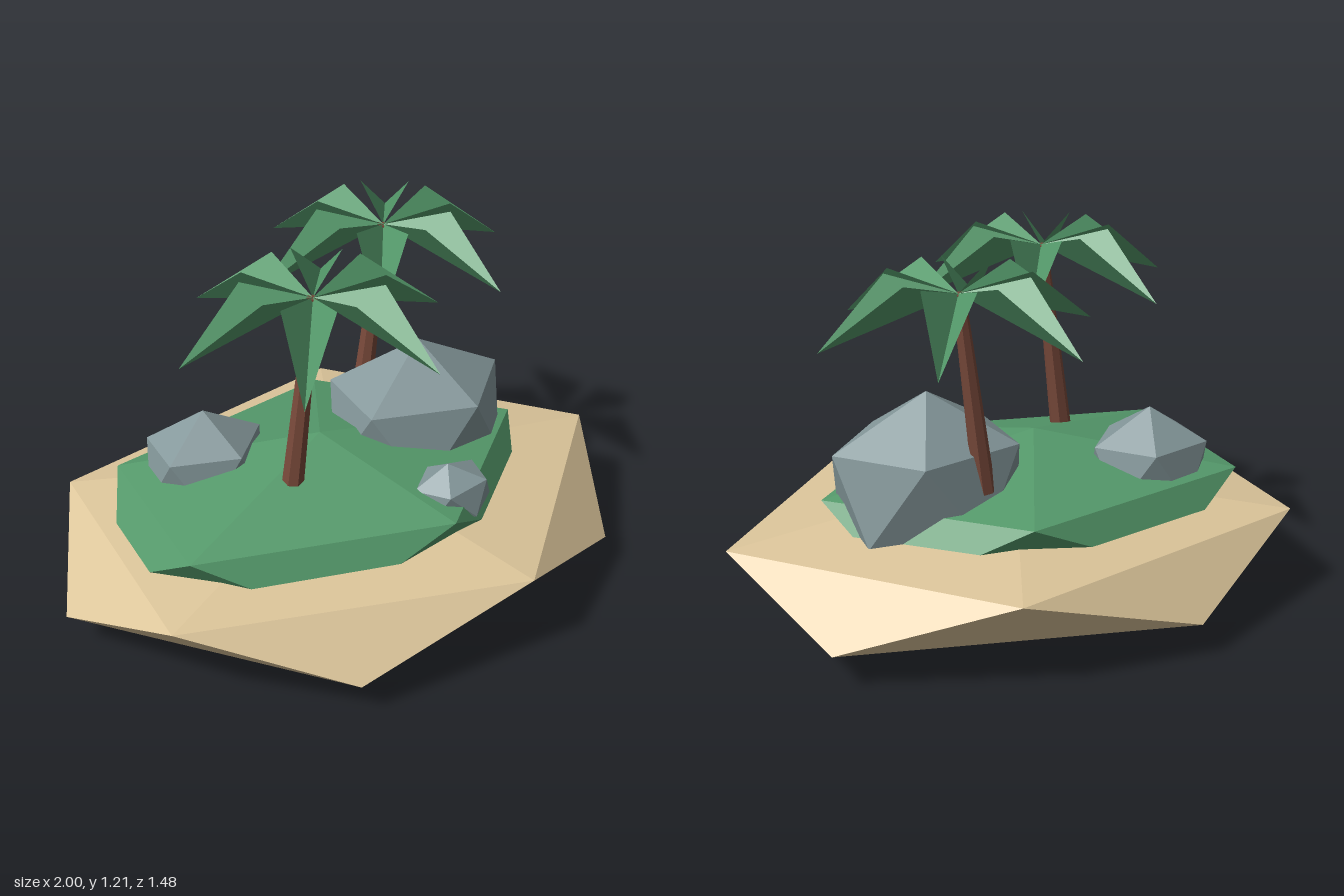
import * as THREE from 'three';

const mat = (color, side = THREE.FrontSide) =>
  new THREE.MeshStandardMaterial({ color, flatShading: true, side });

const sand = mat(0xdcc59a);
const green = mat(0x559a6b);
const stone = mat(0x84979a);
const bark = mat(0x78493a);
const leaf = mat(0x559a6b, THREE.DoubleSide);

// Squashed icosahedron standing on a corner, with an optional turn before squashing
function boulder(name, material, radii, position, turn = [0, 0, 0]) {
  const geometry = new THREE.IcosahedronGeometry(1, 0);
  geometry.rotateZ(-Math.atan(2 / (1 + Math.sqrt(5))));
  geometry.applyMatrix4(new THREE.Matrix4().makeRotationFromEuler(new THREE.Euler(...turn)));
  geometry.scale(...radii);
  geometry.computeVertexNormals();
  const mesh = new THREE.Mesh(geometry, material);
  mesh.name = name;
  mesh.position.set(...position);
  return mesh;
}

// Folded leaf along +x: two triangles meeting in a valley
function frondGeometry() {
  const root = [0, 0, 0], tip = [0.45, -0.13, 0];
  const left = [0.208, 0.065, -0.083], right = [0.208, 0.065, 0.083];
  const geometry = new THREE.BufferGeometry();
  geometry.setAttribute('position', new THREE.Float32BufferAttribute(
    [root, tip, left, root, right, tip].flat(), 3));
  geometry.computeVertexNormals();
  return geometry;
}

function palm(name, x, y, z) {
  const tree = new THREE.Group();
  tree.name = name;
  tree.position.set(x, y, z);

  // Leaning, tapered trunk, from its foot to the crown
  const foot = new THREE.Vector3(-0.08, -0.66, 0);
  const trunk = new THREE.Mesh(
    new THREE.CylinderGeometry(0.021, 0.037, foot.length(), 7), bark);
  trunk.name = 'trunk';
  trunk.position.copy(foot).multiplyScalar(0.5);
  trunk.quaternion.setFromUnitVectors(
    new THREE.Vector3(0, 1, 0), foot.clone().negate().normalize());
  tree.add(trunk);

  // Crown of six fronds
  const geometry = frondGeometry();
  for (let i = 0; i < 6; i++) {
    const frond = new THREE.Mesh(geometry, leaf);
    frond.name = 'frond';
    frond.rotation.y = i * Math.PI / 3;
    tree.add(frond);
  }
  return tree;
}

export function createModel() {
  const island = new THREE.Group();
  island.name = 'island';

  // Ground; radii are ring radius / 0.894
  island.add(
    boulder('sandBase', sand, [1.118, 0.2125, 0.872], [0, 0.2125, 0]),
    boulder('grassMound', green, [0.841, 0.235, 0.59], [-0.072, 0.32, 0]));

  // Rocks
  island.add(
    boulder('largeRock', stone, [0.358, 0.3075, 0.282], [0.34, 0.4625, -0.07]),
    boulder('mediumRock', stone, [0.228, 0.208, 0.192], [-0.415, 0.432, -0.18]),
    boulder('smallRock', stone, [0.148, 0.115, 0.118], [0.245, 0.42, 0.337], [-0.1, 0.5, 0.15]));

  // Palms, placed by their crowns
  island.add(
    palm('frontPalm', -0.16, 1.148, 0.135),
    palm('backPalm', 0.297, 1.132, -0.247));

  return island;
}
